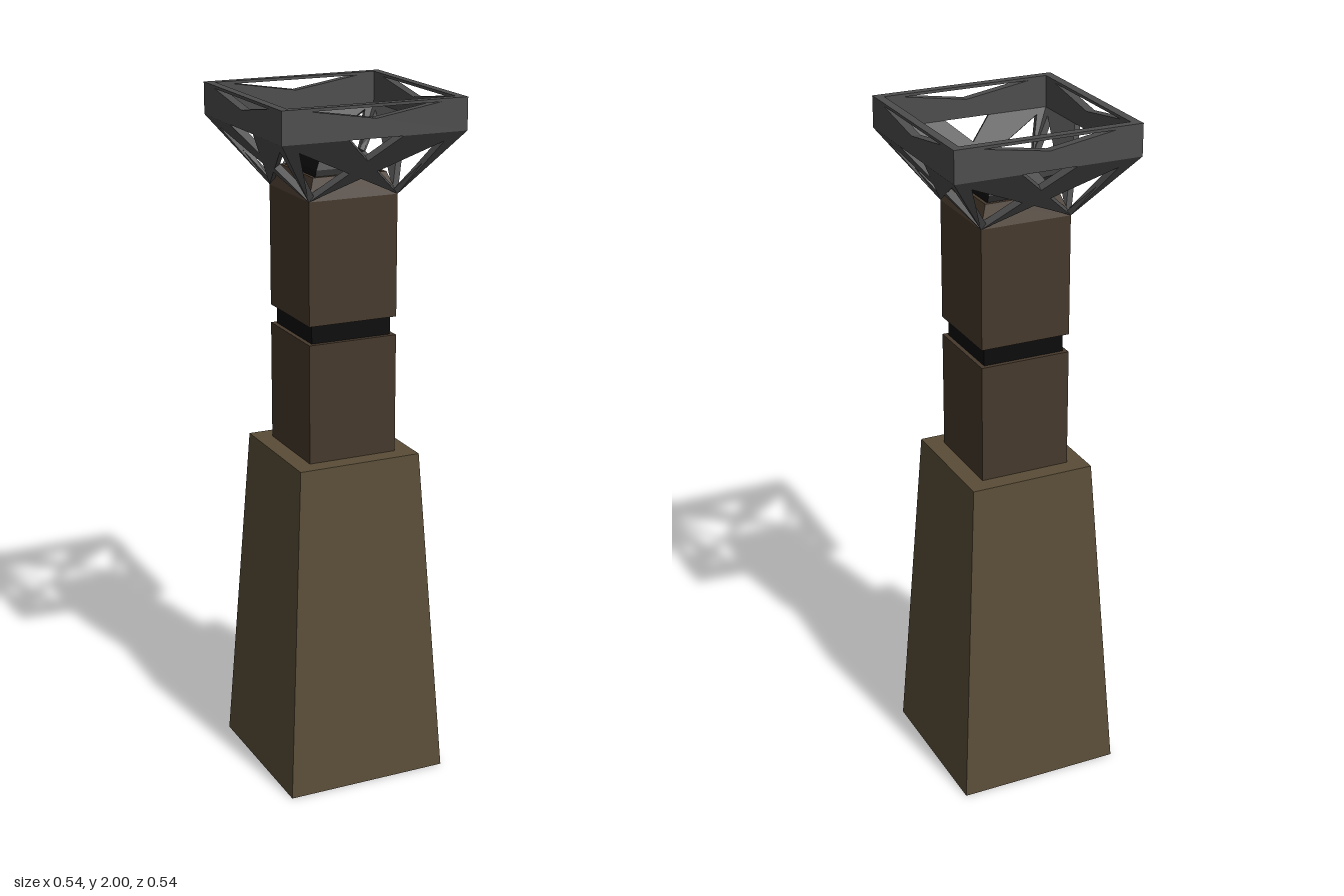
import * as THREE from 'three';

const mat = (color, extra = {}) => new THREE.MeshStandardMaterial({ color, flatShading: true, ...extra });
const stone = mat(0x5a4d37), brick = mat(0x46392c), black = mat(0x0b0b0b);
const steel = mat(0x4d4d4d, { side: THREE.DoubleSide });

// Square-plan solid from [halfWidth, y] pairs, bottom to top
function squareTower(name, profile, material) {
  const pts = profile.map(([r, y]) => new THREE.Vector2(r * Math.SQRT2, y));
  const mesh = new THREE.Mesh(new THREE.LatheGeometry(pts, 4, Math.PI / 4), material);
  mesh.name = name;
  return mesh;
}

// Thin triangular plate lying in the sloped front panel of the crown
const inward = new THREE.Vector3(0, 0.596, -0.804).multiplyScalar(0.02);
function plate(name, a, b, c) {
  const outer = [a, b, c].map((p) => new THREE.Vector3(...p));
  const p = [...outer, ...outer.map((v) => v.clone().add(inward))];
  const order = [0, 1, 2, 3, 5, 4];
  for (let i = 0; i < 3; i++) {
    const j = (i + 1) % 3;
    order.push(i, i + 3, j, j, i + 3, j + 3);
  }
  // keep the faces pointing outwards for mirrored plates
  const n = outer[1].clone().sub(outer[0]).cross(outer[2].clone().sub(outer[0]));
  if (n.dot(inward) > 0) order.reverse();
  const geo = new THREE.BufferGeometry().setFromPoints(order.map((i) => p[i]));
  geo.computeVertexNormals();
  const mesh = new THREE.Mesh(geo, steel);
  mesh.name = name;
  return mesh;
}

// One of the four identical sides of the crown
function crownSide() {
  const side = new THREE.Group();
  const R = 0.27, low = 1.91, top = 2, foot = 0.133, footY = 1.725;

  // Upright rim band with a shallow triangular opening
  const band = new THREE.Shape([[-R, low], [R, low], [R, top], [-R, top]].map((q) => new THREE.Vector2(...q)));
  band.holes.push(new THREE.Path([[-0.19, 1.992], [0, 1.962], [0.19, 1.992]].map((q) => new THREE.Vector2(...q))));
  const rim = new THREE.Mesh(new THREE.ExtrudeGeometry(band, { depth: 0.025, bevelEnabled: false }), steel);
  // mitre the inner face at the corners
  const pos = rim.geometry.attributes.position;
  for (let i = 0; i < pos.count; i++) {
    if (pos.getZ(i) < 0.01 && Math.abs(pos.getX(i)) > 0.25) pos.setX(i, Math.sign(pos.getX(i)) * 0.245);
  }
  rim.geometry.computeVertexNormals();
  rim.position.z = R - 0.025;
  rim.name = 'crownRim';
  side.add(rim);

  for (const s of [-1, 1]) {
    side.add(plate('crossBrace', [s * foot, footY, foot], [-s * R, low, R], [-s * 0.08, low, R]));
    side.add(plate('cornerStrut', [s * foot, footY, foot], [s * R, low, R], [s * 0.225, low, R]));
  }
  return side;
}

export function createModel() {
  const model = new THREE.Group();
  model.name = 'tower';

  // Tapered base
  model.add(squareTower('base', [[0, 0], [0.243, 0], [0.184, 0.98], [0, 0.98]], stone));

  // Shaft in two blocks with a dark recessed joint
  model.add(squareTower('lowerShaft', [[0.133, 0.97], [0.133, 1.325], [0, 1.325]], brick));
  model.add(squareTower('joint', [[0.12, 1.32], [0.12, 1.385]], black));
  model.add(squareTower('upperShaft', [[0, 1.378], [0.133, 1.378], [0.133, 1.725],
    [0.11, 1.785], [0.1, 1.785], [0.1, 1.775], [0, 1.775]], brick));

  // Faceted dark cap
  model.add(squareTower('cap', [[0.098, 1.775], [0.092, 1.80], [0.068, 1.835], [0.03, 1.857], [0, 1.86]], black));

  // Openwork crown
  const crown = new THREE.Group();
  crown.name = 'crown';
  for (let i = 0; i < 4; i++) {
    const side = crownSide();
    side.name = 'crownSide';
    side.rotation.y = (i * Math.PI) / 2;
    crown.add(side);
  }
  model.add(crown);
  return model;
}
